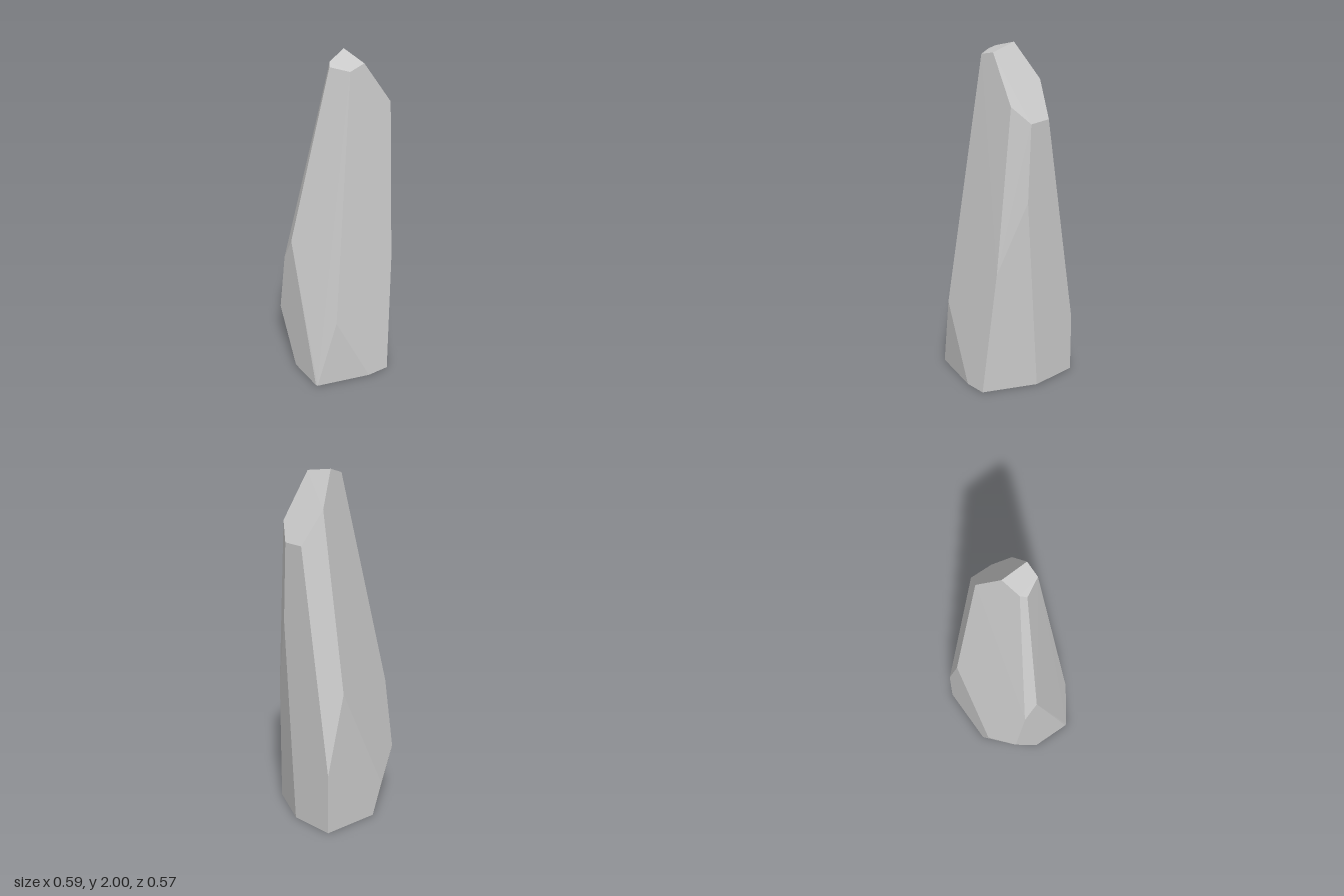
import * as THREE from 'three';
import { ConvexGeometry } from 'three/addons/geometries/ConvexGeometry.js';

// A tall faceted stone shard: the convex hull of its corners, listed ring by ring.
export function createModel() {
  const tip = [
    [-0.08, 1.95, 0.02], [-0.058, 1.965, -0.011], [0.052, 2.0, -0.044],
    [0.07, 1.975, 0.124], [-0.02, 1.95, 0.127],
  ];
  // Slanted cut on the upper +x side
  const shoulder = [
    [0.231, 1.715, 0.144], [0.295, 1.615, 0.055],
    [0.295, 1.615, -0.075], [0.177, 1.805, -0.121],
  ];
  // Corners where the sloping sides meet the upright ones
  const flanks = [
    [0.295, 1.17, 0.074], [0.206, 0.75, 0.224],
    [0.295, 0.345, -0.287], [0.179, 0.8, -0.287],
    [-0.122, 0.18, -0.287], [-0.295, 0.34, -0.2],
    [-0.295, 0.735, -0.135], [-0.295, 0.89, -0.054],
    [-0.187, 0.45, 0.249],
  ];
  const base = [
    [0.15, 0, 0.285], [0.02, 0, 0.285], [-0.29, 0, 0.201], [-0.295, 0, 0.19],
    [-0.295, 0, -0.037], [-0.055, 0, -0.287], [0.295, 0, -0.287], [0.295, 0, -0.01],
  ];

  const corners = [...tip, ...shoulder, ...flanks, ...base]
    .map((p) => new THREE.Vector3(...p));
  const stone = new THREE.Mesh(
    new ConvexGeometry(corners),
    new THREE.MeshStandardMaterial({ color: 0xcccccc, flatShading: true }),
  );
  stone.name = 'stone';

  const group = new THREE.Group();
  group.name = 'standingStone';
  group.add(stone);
  return group;
}
